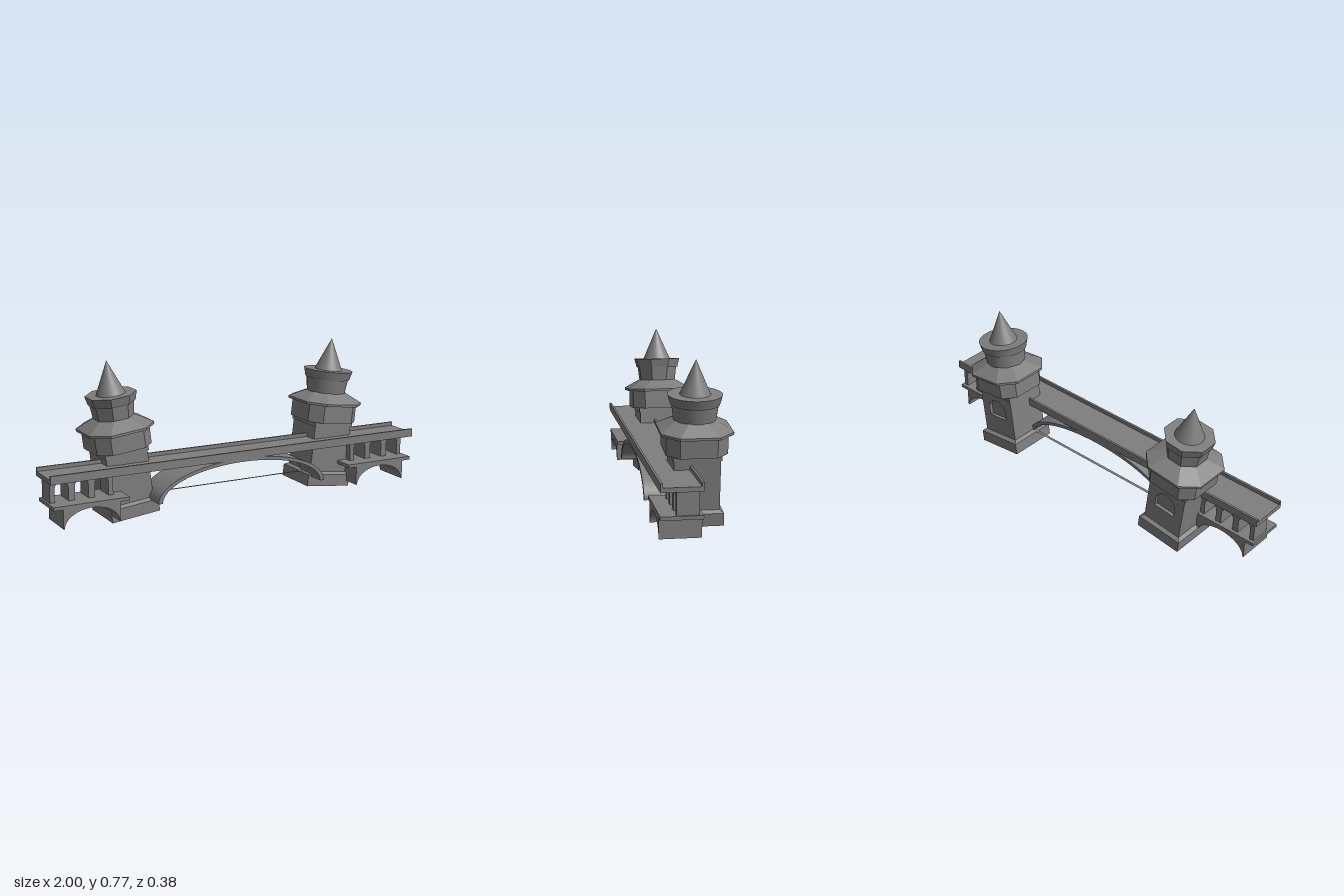
import * as THREE from 'three';

const stone = 0x7e7e7e;
const smooth = new THREE.MeshStandardMaterial({ color: stone });
const flat = new THREE.MeshStandardMaterial({ color: stone, flatShading: true });
const thin = new THREE.MeshStandardMaterial({ color: stone, side: THREE.DoubleSide });

function add(parent, name, geometry, material = flat, x = 0, y = 0, z = 0) {
  const mesh = new THREE.Mesh(geometry, material);
  mesh.name = name;
  mesh.position.set(x, y, z);
  parent.add(mesh);
  return mesh;
}

// Box given by its limits
function block(parent, name, x0, x1, y0, y1, z0, z1) {
  return add(parent, name, new THREE.BoxGeometry(x1 - x0, y1 - y0, z1 - z0), flat,
    (x0 + x1) / 2, (y0 + y1) / 2, (z0 + z1) / 2);
}

function extrude(shape, depth) {
  return new THREE.ExtrudeGeometry(shape, { depth, bevelEnabled: false, curveSegments: 28 });
}

// Loft through chamfered squares, each [half width, half flat side, y]
function loft(rings) {
  const loops = rings.map(([h, f, y]) =>
    [[h, -f], [h, f], [f, h], [-f, h], [-h, f], [-h, -f], [-f, -h], [f, -h]].map(([x, z]) => [x, y, z]));
  const out = [];
  const tri = (...points) => points.forEach(p => out.push(...p));
  for (let k = 0; k < loops.length - 1; k++) {
    for (let i = 0; i < 8; i++) {
      const j = (i + 1) % 8, low = loops[k], high = loops[k + 1];
      tri(low[i], high[i], high[j]);
      tri(low[i], high[j], low[j]);
    }
  }
  const bottom = loops[0], top = loops[loops.length - 1];
  for (let i = 1; i < 7; i++) {
    tri(bottom[0], bottom[i], bottom[i + 1]);
    tri(top[0], top[i + 1], top[i]);
  }
  const geometry = new THREE.BufferGeometry();
  geometry.setAttribute('position', new THREE.Float32BufferAttribute(out, 3));
  geometry.computeVertexNormals();
  return geometry;
}

// Leaning tower; the turret has the given number of sides
function makeTower(name, side, baseX, baseY, sides) {
  const tower = new THREE.Group();
  tower.name = name;
  tower.position.set(baseX, baseY, -0.0245);
  tower.rotation.z = -side * 0.118;

  add(tower, 'plinth', loft([[0.125, 0.125, 0], [0.125, 0.125, 0.06], [0.107, 0.107, 0.072]]));

  // Shaft with an arched niche in its back face
  block(tower, 'shaft', -0.107, 0.107, 0.06, 0.315, -0.09, 0.107);
  const panel = new THREE.Shape();
  panel.moveTo(-0.107, 0.06);
  panel.lineTo(0.107, 0.06);
  panel.lineTo(0.107, 0.315);
  panel.lineTo(-0.107, 0.315);
  panel.closePath();
  const niche = new THREE.Path();
  niche.moveTo(-0.058, 0.175);
  niche.lineTo(-0.058, 0.215);
  niche.absarc(0, 0.215, 0.058, Math.PI, 0, true);
  niche.lineTo(0.058, 0.175);
  niche.closePath();
  panel.holes.push(niche);
  add(tower, 'nichePanel', extrude(panel, 0.017), flat, 0, 0, -0.107);

  add(tower, 'collar', loft([[0.112, 0.112, 0.308], [0.112, 0.112, 0.334]]));
  add(tower, 'chamber', loft([[0.142, 0.085, 0.331], [0.142, 0.085, 0.425]]));
  add(tower, 'eavesRoof', loft([[0.166, 0.09, 0.422], [0.166, 0.09, 0.434], [0.092, 0.04, 0.478]]));

  // Flared turret with a projecting rim and a spire
  const material = sides === 8 ? flat : smooth;
  const turn = Math.PI / 8;
  add(tower, 'turret', new THREE.CylinderGeometry(0.108, 0.097, 0.085, sides), material, 0, 0.5075).rotation.y = turn;
  add(tower, 'rim', new THREE.CylinderGeometry(0.1255, 0.114, 0.044, sides), material, 0, 0.569).rotation.y = turn;
  add(tower, 'spire', new THREE.ConeGeometry(0.073, 0.166, 32), smooth, 0, 0.669);
  return tower;
}

// Approach span: shelf on a low arch, carrying an arcade
function makeApproach(name, side) {
  const span = new THREE.Group();
  span.name = name;
  const cx = side * 0.8;
  block(span, 'shelf', cx - 0.19, cx + 0.19, 0.132, 0.149, 0, 0.19);

  const low = new THREE.Shape();
  low.moveTo(-0.143, 0.038);
  low.lineTo(-0.137, 0.038);
  low.absellipse(0, 0.038, 0.137, 0.086, Math.PI, 0, true);
  low.lineTo(0.143, 0.038);
  low.lineTo(0.143, 0.134);
  low.lineTo(-0.143, 0.134);
  low.closePath();
  add(span, 'lowArch', extrude(low, 0.19), flat, cx);

  // Four piers joined by three arches
  const arcade = new THREE.Shape();
  arcade.moveTo(-0.158, 0.147);
  for (const x of [-0.1, 0, 0.1]) {
    arcade.lineTo(x - 0.034, 0.147);
    arcade.lineTo(x - 0.034, 0.211);
    arcade.absellipse(x, 0.211, 0.034, 0.036, Math.PI, 0, true);
    arcade.lineTo(x + 0.034, 0.147);
  }
  arcade.lineTo(0.158, 0.147);
  arcade.lineTo(0.158, 0.258);
  arcade.lineTo(-0.158, 0.258);
  arcade.closePath();
  add(span, 'arcade', extrude(arcade, 0.101), flat, side * 0.822, 0, 0.017);
  return span;
}

export function createModel() {
  const model = new THREE.Group();
  model.name = 'bridge';

  // Roadway with a low parapet along each edge, in three lengths
  for (const [x0, x1] of [[-1, -0.62], [-0.62, 0.62], [0.62, 1]]) {
    block(model, 'deck', x0, x1, 0.256, 0.278, 0, 0.191);
    block(model, 'frontParapet', x0, x1, 0.278, 0.297, 0.18, 0.191);
    block(model, 'backParapet', x0, x1, 0.278, 0.297, 0, 0.011);
  }

  // Main arch, its crown meeting the deck
  const arch = new THREE.Shape();
  arch.moveTo(-0.462, 0.09);
  arch.absellipse(0, 0.09, 0.462, 0.171, Math.PI, 0, true);
  arch.lineTo(0.44, 0.09);
  arch.absellipse(0, 0.09, 0.44, 0.153, 0, Math.PI, false);
  arch.closePath();
  add(model, 'mainArch', extrude(arch, 0.188), smooth, 0, 0, 0.001);

  // Flat tie between the towers
  add(model, 'tieStrip', new THREE.PlaneGeometry(0.9, 0.015), thin, 0, 0.1, 0.012).rotation.x = -Math.PI / 2;

  model.add(makeTower('rightTower', -1, -0.538, 0.0165, 8), makeTower('leftTower', 1, 0.543, 0.025, 32));
  model.add(makeApproach('rightApproach', -1), makeApproach('leftApproach', 1));
  return model;
}
